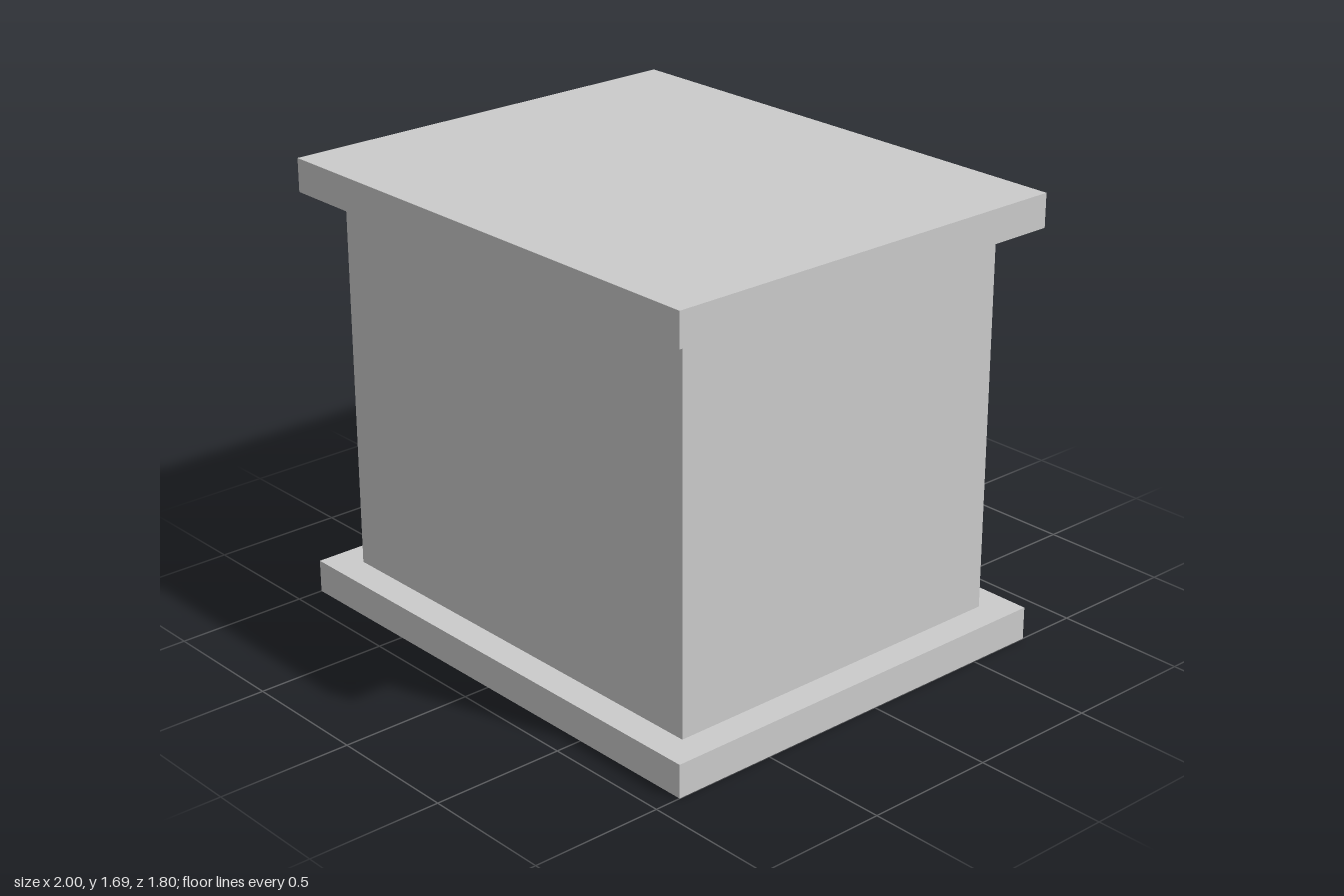
import * as THREE from 'three';

const material = new THREE.MeshStandardMaterial({ color: 0xcccccc, flatShading: true });

function addMesh(parent, name, geometry) {
  const mesh = new THREE.Mesh(geometry, material);
  mesh.name = name;
  parent.add(mesh);
  return mesh;
}

// Box given by its limits on each axis
function addBox(parent, name, [x0, x1], [y0, y1], [z0, z1]) {
  const mesh = addMesh(parent, name, new THREE.BoxGeometry(x1 - x0, y1 - y0, z1 - z0));
  mesh.position.set((x0 + x1) / 2, (y0 + y1) / 2, (z0 + z1) / 2);
  return mesh;
}

// Closed skin over four-cornered rings, each counterclockwise seen from the far end
function loft(rings) {
  const positions = [];
  const quad = (a, b, c, d) => positions.push(...a, ...b, ...c, ...a, ...c, ...d);
  for (let r = 0; r < rings.length - 1; r++) {
    for (let i = 0; i < 4; i++) {
      const j = (i + 1) % 4;
      quad(rings[r][i], rings[r][j], rings[r + 1][j], rings[r + 1][i]);
    }
  }
  quad(...[...rings[0]].reverse());
  quad(...rings[rings.length - 1]);
  const geometry = new THREE.BufferGeometry();
  geometry.setAttribute('position', new THREE.Float32BufferAttribute(positions, 3));
  geometry.computeVertexNormals();
  return geometry;
}

// Ring facing -z, centred on the z axis
const ringZ = (w, h, z) => [[w, -h, z], [-w, -h, z], [-w, h, z], [w, h, z]];
// Ring facing +x
const ringX = (x, y0, y1, zOut, zIn) => [[x, y0, zIn], [x, y0, zOut], [x, y1, zOut], [x, y1, zIn]];

// Bowed pull on two posts; z = 0 is the drawer face
function makeHandle() {
  const handle = new THREE.Group();
  handle.name = 'handle';
  for (const x of [-0.247, 0.247]) {
    const stem = addMesh(handle, 'handleStem', loft([ringZ(0.02, 0.026, 0), ringZ(0.012, 0.018, -0.055)]));
    stem.position.x = x;
    addBox(handle, 'handlePost', [x - 0.024, x + 0.024], [-0.025, 0.03], [-0.098, -0.05]);
  }
  // half length, bottom, top, outer z, inner z
  const sections = [
    [0.23, -0.022, 0.027, -0.092, -0.054],
    [0.12, -0.032, 0.029, -0.112, -0.061],
    [0.03, -0.037, 0.029, -0.125, -0.069],
  ];
  const left = sections.map(([x, ...rest]) => ringX(-x, ...rest));
  const right = [...sections].reverse().map(([x, ...rest]) => ringX(x, ...rest));
  const middle = ringX(0, -0.038, 0.029, -0.128, -0.071);
  addMesh(handle, 'handleBar', loft([...left, middle, ...right]));
  return handle;
}

export function createModel() {
  const model = new THREE.Group();
  model.name = 'nightstand';

  // Carcass
  addBox(model, 'base', [-1, 1], [0, 0.125], [-0.76, 0.9]);
  addBox(model, 'body', [-0.885, 0.885], [0.125, 1.565], [-0.645, 0.785]);
  addBox(model, 'top', [-1, 1], [1.565, 1.69], [-0.76, 0.9]);
  addBox(model, 'drawerBlock', [-0.71, 0.71], [0.25, 1.435], [-0.73, -0.645]);

  // Two drawers with bevelled fronts
  [0.547, 1.139].forEach((y, i) => {
    const drawer = new THREE.Group();
    drawer.name = i ? 'upperDrawer' : 'lowerDrawer';
    const front = addMesh(drawer, 'drawerFront', loft([ringZ(0.71, 0.296, -0.73), ringZ(0.675, 0.26, -0.775)]));
    front.position.y = y;
    const handle = makeHandle();
    handle.position.set(-0.013, i ? 1.13 : 0.56, -0.775);
    drawer.add(handle);
    model.add(drawer);
  });

  return model;
}
